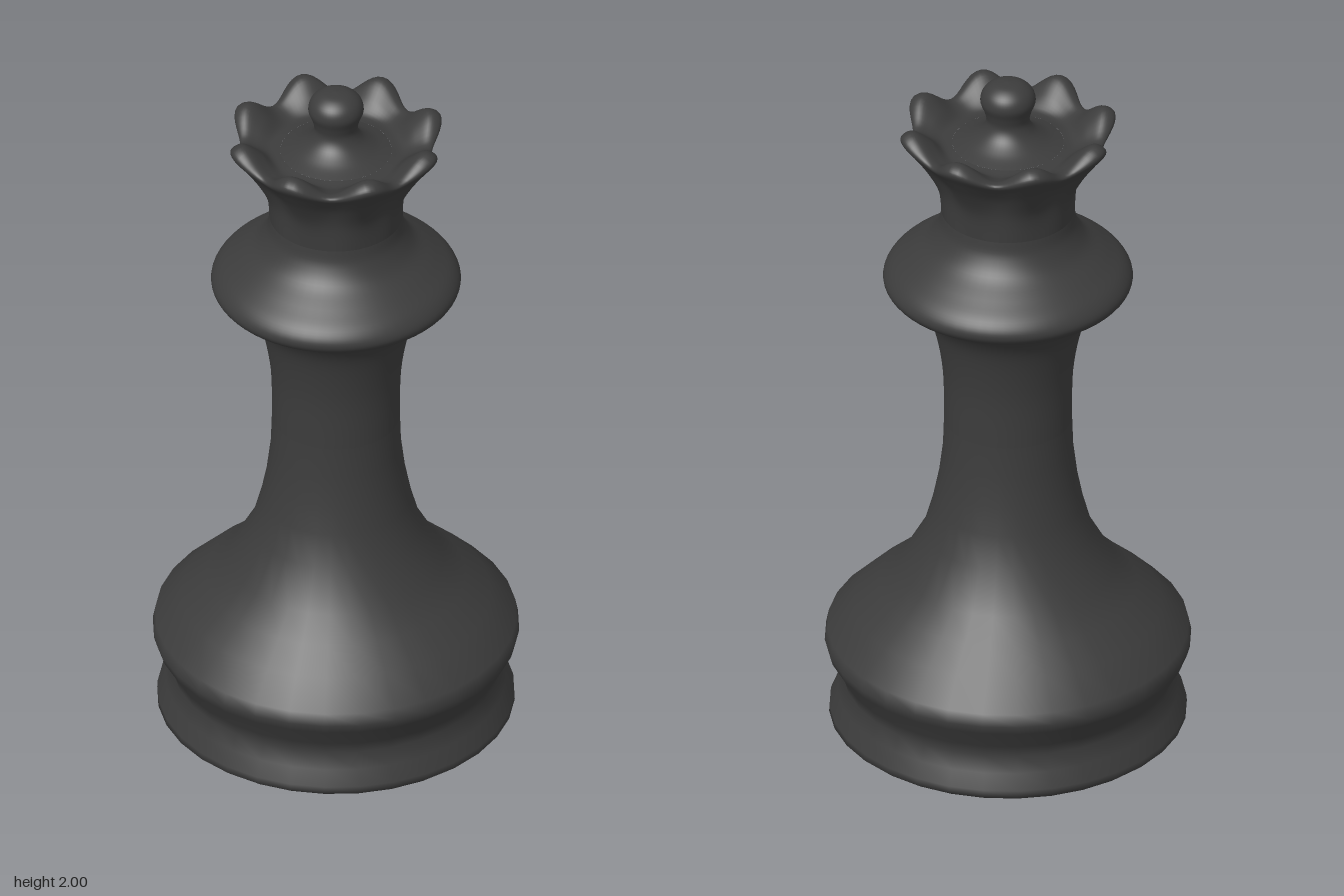
import * as THREE from 'three';
import { mergeVertices } from 'three/addons/utils/BufferGeometryUtils.js';

const toPoints = (list) => list.map(([r, y]) => new THREE.Vector2(r, y));
const smooth = (list, steps) => {
  const points = new THREE.SplineCurve(toPoints(list)).getPoints(steps);
  points.forEach((p) => { p.x = Math.max(p.x, 0); });
  return points;
};

export function createModel() {
  const model = new THREE.Group();
  const material = new THREE.MeshStandardMaterial({ color: 0x3c3c3c });

  const add = (name, geometry) => {
    const mesh = new THREE.Mesh(geometry, material);
    mesh.name = name;
    model.add(mesh);
  };

  // Moulded foot and flared lower stem, lightly faceted
  add('base', new THREE.LatheGeometry(toPoints([
    [0, 0], [0.25, 0.003], [0.4, 0.012], [0.465, 0.025], [0.483, 0.04], [0.482, 0.058],
    [0.46, 0.1], [0.444, 0.145], [0.453, 0.18], [0.488, 0.24], [0.495, 0.265], [0.488, 0.3],
    [0.418, 0.37], [0.35, 0.43], [0.29, 0.49], [0.228, 0.6], [0.203, 0.69], [0.187, 0.77],
    [0.176, 0.86], [0.173, 0.95],
  ]), 32));

  // Upper stem swelling into the wide collar, then in to the waist
  add('stemAndCollar', new THREE.LatheGeometry(smooth([
    [0.173, 0.95], [0.176, 1.1], [0.2, 1.235], [0.235, 1.305], [0.275, 1.34], [0.322, 1.366],
    [0.337, 1.395], [0.318, 1.43], [0.27, 1.468], [0.217, 1.51], [0.188, 1.558], [0.18, 1.6],
  ], 55), 64));

  // Crown: blends between a valley profile and a lobe profile, eight times around
  const valley = smooth([
    [0.18, 1.6], [0.185, 1.68], [0.205, 1.74], [0.235, 1.785], [0.258, 1.812],
    [0.256, 1.823], [0.24, 1.825], [0.215, 1.817], [0.18, 1.806], [0.15, 1.81],
  ], 45);
  const lobe = smooth([
    [0.18, 1.6], [0.191, 1.68], [0.226, 1.75], [0.268, 1.81], [0.297, 1.85],
    [0.288, 1.871], [0.258, 1.877], [0.215, 1.845], [0.18, 1.812], [0.15, 1.81],
  ], 45);
  const segments = 128;
  let crown = new THREE.LatheGeometry(valley, segments);
  const position = crown.attributes.position;
  for (let i = 0; i <= segments; i++) {
    const angle = (i / segments) * Math.PI * 2;
    const weight = (1 - Math.cos(8 * angle)) / 2;
    valley.forEach((v, j) => {
      const p = v.clone().lerp(lobe[j], weight);
      position.setXYZ(i * valley.length + j, p.x * Math.sin(angle), p.y, p.x * Math.cos(angle));
    });
  }
  crown.deleteAttribute('uv');
  crown.deleteAttribute('normal');
  crown = mergeVertices(crown);
  crown.computeVertexNormals();
  add('crown', crown);

  // Domed crown floor rising to the round finial
  add('finial', new THREE.LatheGeometry(smooth([
    [0.15, 1.81], [0.11, 1.825], [0.075, 1.85], [0.059, 1.88], [0.064, 1.91],
    [0.075, 1.943], [0.066, 1.973], [0.038, 1.994], [0, 2],
  ], 40), 48));

  return model;
}
